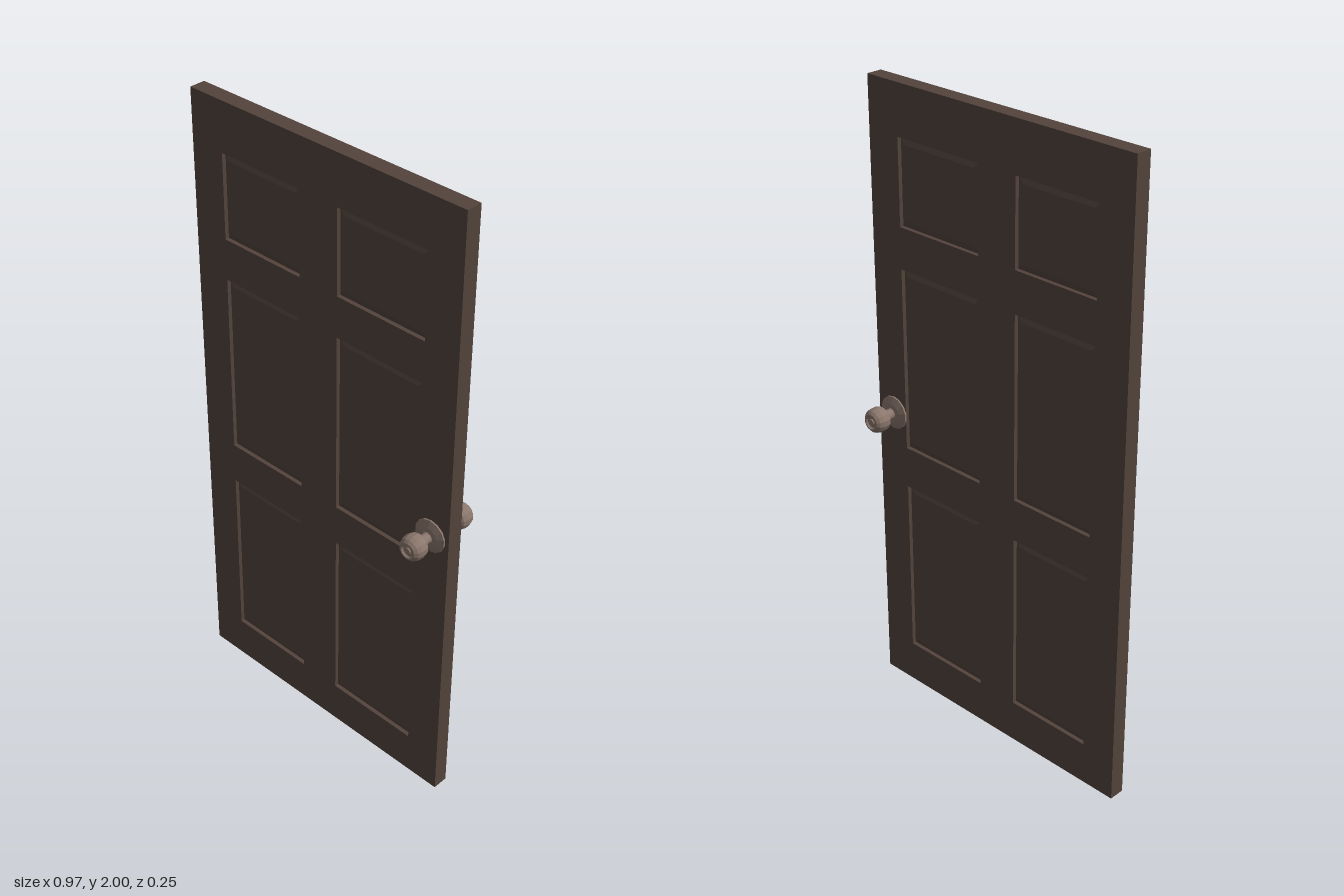
import * as THREE from 'three';

const WIDTH = 0.97, HEIGHT = 2, THICK = 0.05;
const COLUMNS = [[-0.37, -0.08], [0.06, 0.37]];
const ROWS = [[0.14, 0.73], [0.865, 1.45], [1.58, 1.845]];
const BEVEL = 0.02;

const wood = new THREE.MeshStandardMaterial({ color: 0x53443c });
const metal = new THREE.MeshStandardMaterial({ color: 0x8a766c, flatShading: true });

function rectangle(PathType, x0, y0, x1, y1) {
  return new PathType([[x0, y0], [x1, y0], [x1, y1], [x0, y1]].map(([x, y]) => new THREE.Vector2(x, y)));
}

function addMesh(parent, name, geometry, material) {
  const mesh = new THREE.Mesh(geometry, material);
  mesh.name = name;
  parent.add(mesh);
  return mesh;
}

// Raised-field panel, bevelled on both faces and sunk into its opening
function panelGeometry(x0, y0, x1, y1) {
  const edgeThickness = 0.024;
  const shape = rectangle(THREE.Shape, x0 + BEVEL, y0 + BEVEL, x1 - BEVEL, y1 - BEVEL);
  return new THREE.ExtrudeGeometry(shape, {
    depth: edgeThickness, bevelEnabled: true, bevelSegments: 1,
    bevelSize: BEVEL, bevelThickness: 0.008,
  }).translate(0, 0, -edgeThickness / 2);
}

function lathe(profile) {
  const points = profile.map(([r, z]) => new THREE.Vector2(r, z));
  return new THREE.LatheGeometry(points, 14).rotateX(Math.PI / 2);
}

function createKnob(name) {
  const knob = new THREE.Group();
  knob.name = name;
  // Tapered rosette against the door
  addMesh(knob, 'rosette', lathe([
    [0.053, 0.024], [0.053, 0.03], [0.032, 0.038], [0.018, 0.04],
  ]), metal);
  // Neck
  addMesh(knob, 'neck', lathe([[0.018, 0.036], [0.016, 0.046], [0.018, 0.07]]), metal);
  // Rounded grip with a dished face and a centre button
  addMesh(knob, 'grip', lathe([
    [0.014, 0.067], [0.027, 0.067], [0.036, 0.075], [0.039, 0.087], [0.039, 0.101],
    [0.035, 0.114], [0.027, 0.122], [0.022, 0.123], [0.018, 0.117], [0.011, 0.117],
    [0.009, 0.121], [0, 0.121],
  ]), metal);
  knob.position.set(0.42, 0.97, 0);
  return knob;
}

export function createModel() {
  const door = new THREE.Group();
  door.name = 'door';

  // Frame of stiles and rails with six openings
  const outline = rectangle(THREE.Shape, -WIDTH / 2, 0, WIDTH / 2, HEIGHT);
  COLUMNS.forEach(([x0, x1], c) => ROWS.forEach(([y0, y1], r) => {
    outline.holes.push(rectangle(THREE.Path, x0, y0, x1, y1));
    const name = `${['lower', 'middle', 'upper'][r]}${['Right', 'Left'][c]}Panel`;
    addMesh(door, name, panelGeometry(x0, y0, x1, y1), wood);
  }));
  const frame = new THREE.ExtrudeGeometry(outline, { depth: THICK, bevelEnabled: false });
  addMesh(door, 'doorFrame', frame.translate(0, 0, -THICK / 2), wood);

  // Matching knobs on both faces
  const backKnob = createKnob('backKnob');
  backKnob.rotation.y = Math.PI;
  door.add(createKnob('frontKnob'), backKnob);

  return door;
}
